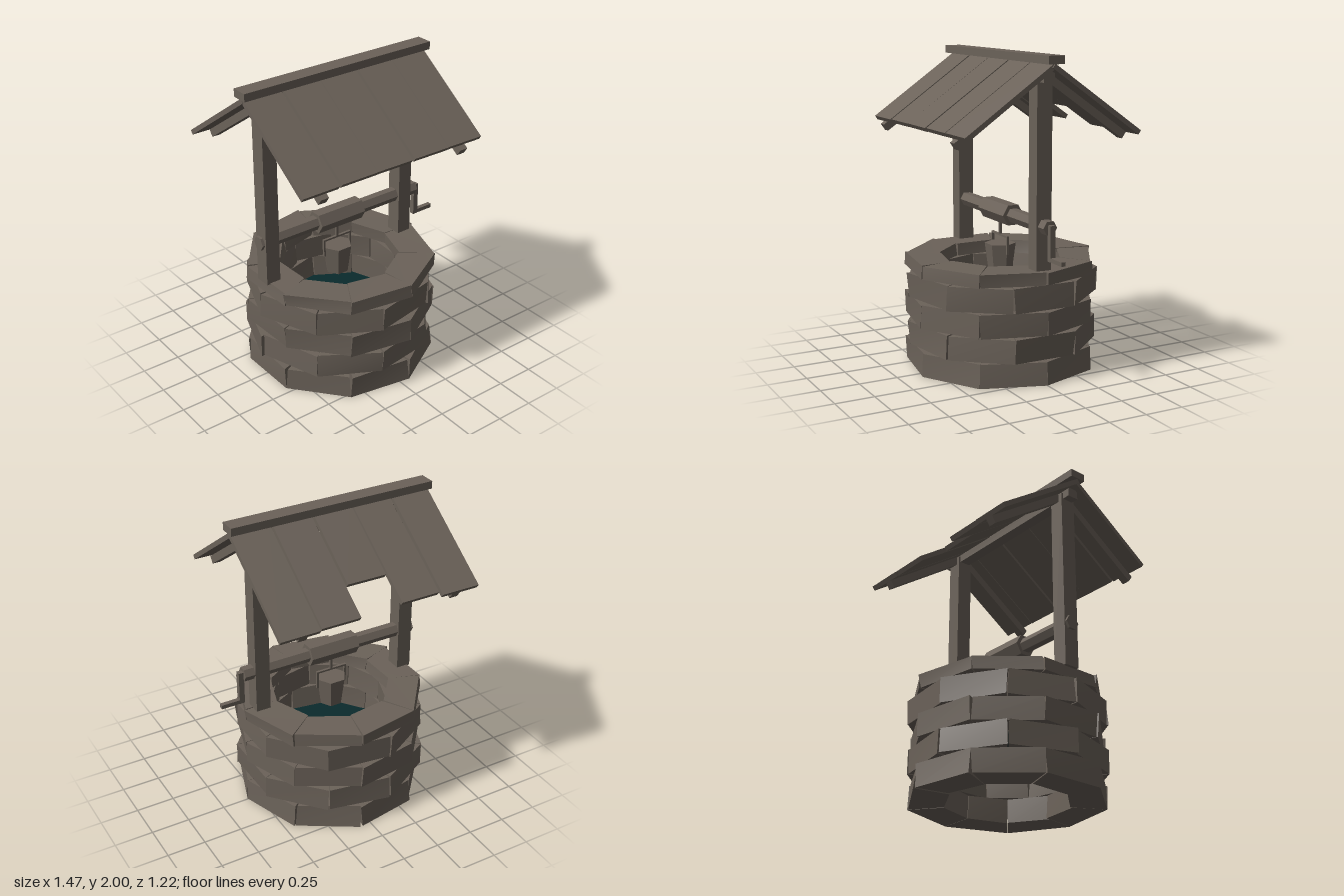
import * as THREE from 'three';

const wood = new THREE.MeshStandardMaterial({ color: 0x6b6259 });
wood.name = 'weatheredBrown';
const teal = new THREE.MeshStandardMaterial({ color: 0x0a2a2c, side: THREE.DoubleSide });
teal.name = 'darkWater';

let seed = 7;
const jitter = (a) => {
  seed = (seed * 16807) % 2147483647;
  return (seed / 2147483647 * 2 - 1) * a;
};

function add(parent, name, geo, x = 0, y = 0, z = 0, mat = wood) {
  const m = new THREE.Mesh(geo, mat);
  m.name = name;
  m.position.set(x, y, z);
  parent.add(m);
  return m;
}

// box given by its minimum and maximum corners
function span(parent, name, [x0, x1], [y0, y1], [z0, z1]) {
  return add(parent, name, new THREE.BoxGeometry(x1 - x0, y1 - y0, z1 - z0),
    (x0 + x1) / 2, (y0 + y1) / 2, (z0 + z1) / 2);
}

// wedge-shaped stone: a box bent onto a ring segment, with uneven corners
function stoneGeometry(a0, a1, rIn, rOut, y0, y1) {
  const geo = new THREE.BoxGeometry(1, 1, 1);
  const p = geo.attributes.position;
  const offsets = Array.from({ length: 8 }, () => [jitter(0.012), jitter(0.012), jitter(0.003)]);
  for (let i = 0; i < p.count; i++) {
    const right = p.getX(i) > 0, up = p.getY(i) > 0, out = p.getZ(i) > 0;
    const [da, dr, dy] = offsets[right * 4 + up * 2 + out * 1];
    const a = (right ? a1 : a0) + da;
    const r = (out ? rOut : rIn) + dr;
    p.setXYZ(i, Math.sin(a) * r, Math.max(0, (up ? y1 : y0) + dy), Math.cos(a) * r);
  }
  geo.computeVertexNormals();
  return geo;
}

// six-sided flat-faced bar or tub
function hex(rTop, rBottom, h) {
  const geo = new THREE.CylinderGeometry(rTop, rBottom, h, 6).toNonIndexed();
  geo.computeVertexNormals();
  return geo;
}

export function createModel() {
  const well = new THREE.Group();
  well.name = 'well';

  // staggered stone courses, nine stones each
  const wall = new THREE.Group();
  wall.name = 'stoneWall';
  wall.position.x = -0.04;
  well.add(wall);
  const courses = [[0, 0.15], [0.155, 0.305], [0.313, 0.46], [0.465, 0.62], [0.625, 0.708]];
  const step = Math.PI * 2 / 9;
  courses.forEach(([y0, y1], row) => {
    const start = THREE.MathUtils.degToRad(row % 2 ? -10 : 10);
    for (let i = 0; i < 9; i++) {
      const a = start + i * step;
      add(wall, 'stone', stoneGeometry(a + 0.004, a + step - 0.004, 0.39, 0.61, y0, y1));
    }
  });
  add(wall, 'water', new THREE.CircleGeometry(0.46, 18).rotateX(-Math.PI / 2), 0, 0.312, 0, teal);

  // posts and the beam between them
  span(well, 'leftPost', [0.413, 0.51], [0.7, 1.88], [-0.053, 0.05]);
  span(well, 'rightPost', [-0.63, -0.533], [0.7, 1.88], [-0.053, 0.05]);
  span(well, 'topBeam', [-0.68, 0.56], [1.84, 1.9], [-0.04, 0.035]);

  // roof: [x start, x end, length] for each plank
  const slopes = {
    front: [[-0.717, -0.462, 0.703], [-0.445, -0.19, 0.7], [-0.186, 0.073, 0.7], [0.09, 0.349, 0.7], [0.354, 0.612, 0.7]],
    back: [[-0.725, -0.468, 0.733], [-0.448, -0.19, 0.71], [-0.178, 0.08, 0.51], [0.095, 0.352, 0.727], [0.365, 0.622, 0.737]],
  };
  for (const [side, planks] of Object.entries(slopes)) {
    const s = side === 'front' ? 1 : -1;
    const slope = new THREE.Group();
    slope.name = side + 'RoofSlope';
    slope.position.set(0, 1.955, -0.005);
    slope.rotation.x = s * 0.605;
    well.add(slope);
    for (const [x0, x1, len] of planks) {
      const plank = add(slope, 'roofPlank', new THREE.BoxGeometry(x1 - x0, 0.03, len),
        (x0 + x1) / 2, -0.015 + jitter(0.002), s * len / 2);
      plank.rotation.y = jitter(0.008);
    }
    for (const x of [-0.573, 0.463]) {
      add(slope, 'rafter', new THREE.BoxGeometry(0.055, 0.05, 0.7), x, -0.055, s * 0.383);
    }
  }
  span(well, 'ridgeBoard', [-0.735, 0.635], [1.95, 2], [-0.06, 0.047]);

  // windlass with crank
  const axle = add(well, 'axle', hex(0.047, 0.047, 1.225), -0.035, 0.98, -0.005);
  const drum = add(well, 'ropeDrum', hex(0.073, 0.073, 0.34), -0.05, 0.98, -0.005);
  // turned so that two edges point forward and back
  for (const bar of [axle, drum]) bar.rotation.z = Math.PI / 2;
  span(well, 'crankArm', [0.575, 0.61], [0.78, 1.0], [-0.022, 0.012]);
  span(well, 'crankGrip', [0.6, 0.732], [0.78, 0.806], [-0.02, 0.01]);

  // bucket hanging on its rope
  const bucket = new THREE.Group();
  bucket.name = 'bucket';
  bucket.position.set(-0.053, 0, -0.005);
  well.add(bucket);
  const tub = add(bucket, 'tub', hex(0.1, 0.075, 0.19), 0, 0.675, 0);
  tub.rotation.y = Math.PI / 2;
  span(bucket, 'rope', [-0.008, 0.008], [0.82, 0.94], [-0.008, 0.008]);
  span(bucket, 'handleTop', [-0.107, 0.107], [0.818, 0.83], [-0.008, 0.008]);
  for (const s of [-1, 1]) {
    add(bucket, 'handleSide', new THREE.BoxGeometry(0.012, 0.11, 0.016), s * 0.101, 0.765, 0);
  }
  return well;
}
